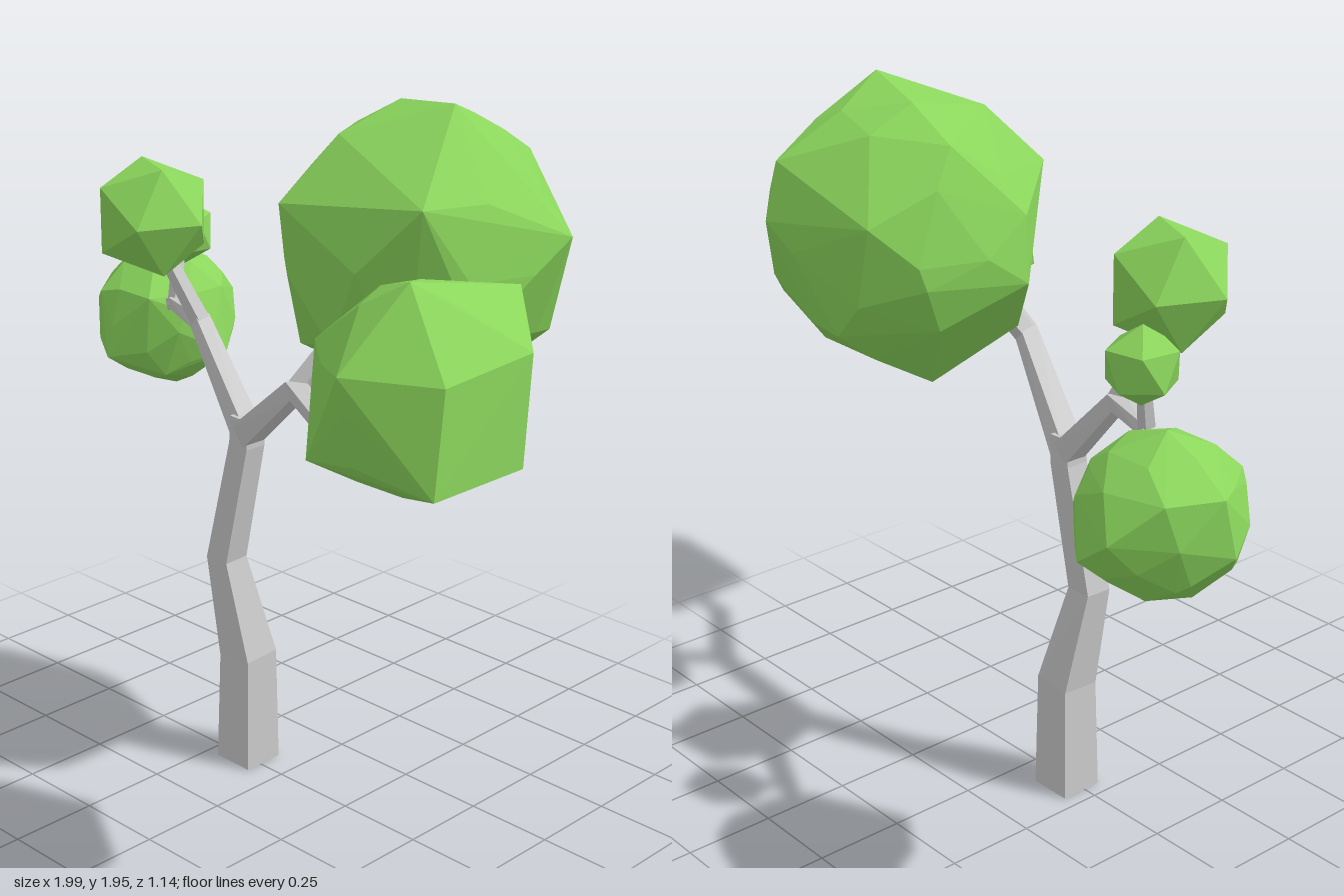
import * as THREE from 'three';
import { ConvexGeometry } from 'three/addons/geometries/ConvexGeometry.js';

const bark = new THREE.MeshStandardMaterial({ color: 0xcccccc, flatShading: true });
const leaf = new THREE.MeshStandardMaterial({ color: 0x8bd65c, flatShading: true });

// Square-section limb swept through points [x, y, z, width]
function limb(name, path) {
  const pts = path.map(p => new THREE.Vector3(p[0], p[1], p[2]));
  const pos = [], idx = [], ref = new THREE.Vector3(0, 0, 1), last = pts.length - 1;
  pts.forEach((p, i) => {
    const t = new THREE.Vector3();
    if (i > 0) t.add(p.clone().sub(pts[i - 1]).normalize());
    if (i < last) t.add(pts[i + 1].clone().sub(p).normalize());
    t.normalize();
    const u = ref.clone().cross(t).normalize(), v = t.clone().cross(u), h = path[i][3] / 2;
    for (const [a, b] of [[1, 1], [-1, 1], [-1, -1], [1, -1]]) {
      const c = p.clone().addScaledVector(u, a * h).addScaledVector(v, b * h);
      pos.push(c.x, c.y, c.z);
    }
    if (i === last) return;
    for (let k = 0; k < 4; k++) {
      const a = i * 4 + k, b = i * 4 + (k + 1) % 4;
      idx.push(a, b, b + 4, a, b + 4, a + 4);
    }
  });
  const e = last * 4;
  idx.push(0, 2, 1, 0, 3, 2, e, e + 1, e + 2, e, e + 2, e + 3);
  const g = new THREE.BufferGeometry();
  g.setAttribute('position', new THREE.Float32BufferAttribute(pos, 3));
  g.setIndex(idx);
  g.computeVertexNormals();
  const mesh = new THREE.Mesh(g, bark);
  mesh.name = name;
  return mesh;
}

// Lumpy leaf clump: its jutting corners wrapped together with a rounded core
function clump(name, corners, core) {
  const pts = corners.map(c => new THREE.Vector3(...c));
  const box = new THREE.Box3().setFromPoints(pts);
  const centre = box.getCenter(new THREE.Vector3());
  const half = box.getSize(new THREE.Vector3()).multiplyScalar(core / 2);
  const ball = new THREE.IcosahedronGeometry(1, 1).attributes.position;
  for (let i = 0; i < ball.count; i++) {
    pts.push(new THREE.Vector3().fromBufferAttribute(ball, i).multiply(half).add(centre));
  }
  const mesh = new THREE.Mesh(new ConvexGeometry(pts), leaf);
  mesh.name = name;
  return mesh;
}

// Small twenty-sided leaf clump
function bud(name, radius, position, spin, tilt) {
  const g = new THREE.IcosahedronGeometry(radius, 0).rotateZ(tilt).rotateY(spin);
  const mesh = new THREE.Mesh(g, leaf);
  mesh.name = name;
  mesh.position.set(...position);
  return mesh;
}

export function createModel() {
  const tree = new THREE.Group();
  tree.name = 'tree';

  // Trunk and branches
  tree.add(
    limb('trunk', [[-0.147, 0, -0.012, 0.124], [-0.145, 0.33, -0.012, 0.112],
      [-0.198, 0.62, 0.018, 0.078], [-0.128, 0.97, 0.005, 0.068], [-0.125, 1.05, 0.005, 0.066]]),
    limb('rightBranch', [[-0.125, 1.0, 0.005, 0.068], [0.17, 1.225, 0.115, 0.05],
      [0.46, 1.21, 0.28, 0.038], [0.64, 1.32, 0.31, 0.03]]),
    limb('rightTwig', [[0.17, 1.22, 0.115, 0.046], [0.25, 1.42, -0.02, 0.036]]),
    limb('leftBranch', [[-0.125, 1.0, 0.005, 0.064], [-0.39, 1.245, -0.07, 0.045],
      [-0.57, 1.245, -0.14, 0.034], [-0.72, 1.18, -0.24, 0.028]]),
    limb('leftInnerTwig', [[-0.385, 1.24, -0.07, 0.04], [-0.47, 1.46, 0.0, 0.03]]),
    limb('leftOuterTwig', [[-0.57, 1.235, -0.14, 0.032], [-0.605, 1.4, -0.19, 0.024]]),
  );

  // Large clump: top and bottom, upper ring, lower ring, knobs between
  tree.add(clump('largeLeaves', [
    [0.42, 1.95, -0.18], [0.16, 1.17, -0.22],
    [0.14, 1.71, 0.15], [0.55, 1.75, 0.08], [0.69, 1.64, -0.32], [0.38, 1.78, -0.53], [0.03, 1.84, -0.25],
    [-0.09, 1.48, -0.1], [0.3, 1.37, 0.13], [0.62, 1.42, -0.05], [0.57, 1.36, -0.4], [0.2, 1.35, -0.49],
    [-0.02, 1.5, -0.37], [0.18, 1.92, -0.25], [0.2, 1.87, 0], [-0.06, 1.65, -0.08], [0.33, 1.89, -0.36],
    [0.07, 1.3, 0], [0.48, 1.29, 0.04], [0.38, 1.63, -0.57], [0.07, 1.66, -0.48],
    [0.4, 1.58, 0.15], [0.16, 1.53, 0.14], [0.36, 1.22, -0.25],
  ], 0.94));

  // Middle-sized clumps
  tree.add(clump('rightLeaves', [
    [0.79, 1.69, 0.39], [0.69, 1.13, 0.25],
    [0.99, 1.53, 0.2], [0.54, 1.58, 0.13], [0.82, 1.62, 0.04], [0.51, 1.5, 0.4], [0.74, 1.5, 0.57],
    [0.96, 1.5, 0.46], [0.97, 1.25, 0.5], [0.57, 1.24, 0.49], [0.5, 1.27, 0.2], [0.75, 1.29, 0.06],
    [0.99, 1.26, 0.22],
  ], 0.93));
  tree.add(clump('leftLeaves', [
    [-0.8, 1.36, -0.3], [-0.76, 0.92, -0.31],
    [-0.84, 1.15, -0.52], [-0.73, 1.07, -0.51], [-0.93, 1.25, -0.43], [-0.67, 1.26, -0.42],
    [-0.99, 1.25, -0.3], [-1, 1.1, -0.27], [-0.92, 1.02, -0.38], [-0.55, 1.06, -0.32], [-0.59, 1.2, -0.2],
    [-0.66, 1.24, -0.12], [-0.78, 1.05, -0.06], [-0.85, 1.23, -0.1], [-0.65, 1.0, -0.17], [-0.9, 1.02, -0.16],
  ], 0.93));

  // Small clumps; the second stands on a corner
  tree.add(
    bud('upperLeaves', 0.172, [-0.465, 1.547, 0.03], -0.42, 0),
    bud('smallLeaves', 0.102, [-0.61, 1.437, -0.2], 0.5, Math.atan(2 / (1 + Math.sqrt(5)))),
  );
  return tree;
}
